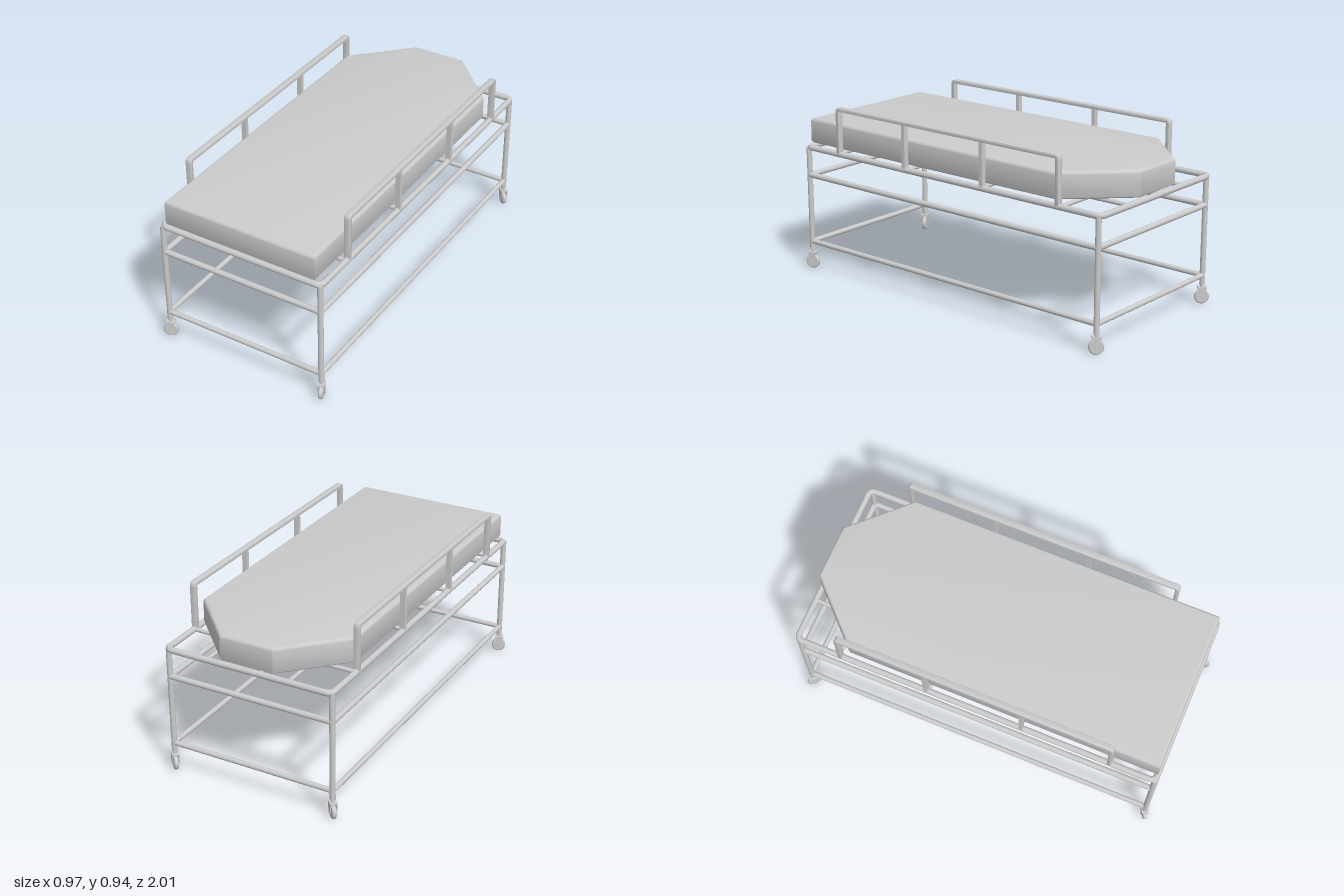
import * as THREE from 'three';
import { toCreasedNormals } from 'three/addons/utils/BufferGeometryUtils.js';

const mat = new THREE.MeshStandardMaterial({ color: 0xcccccc });

export function createModel() {
  const root = new THREE.Group();

  const add = (name, geo, parent = root) => {
    const mesh = new THREE.Mesh(geo, mat);
    mesh.name = name;
    parent.add(mesh);
    return mesh;
  };

  // Straight round bar between two points
  const bar = (name, a, b, r, parent = root) => {
    const from = new THREE.Vector3(...a), to = new THREE.Vector3(...b);
    const dir = to.clone().sub(from);
    const mesh = add(name, new THREE.CylinderGeometry(r, r, dir.length(), 16), parent);
    mesh.position.copy(from).lerp(to, 0.5);
    mesh.quaternion.setFromUnitVectors(new THREE.Vector3(0, 1, 0), dir.normalize());
    return mesh;
  };

  const X = 0.452, ZF = 0.97, ZB = -0.97;

  // Top frame: one closed tube with rounded corners
  const fx = 0.455, fb = -0.983, ff = 0.972, c = 0.035, fy = 0.685;
  const v = (x, z) => new THREE.Vector3(x, fy, z);
  const corners = [[fx, ff], [fx, fb], [-fx, fb], [-fx, ff]].map(([x, z]) => v(x, z));
  const path = new THREE.CurvePath();
  const toward = (a, b) => a.clone().add(b.clone().sub(a).setLength(c));
  corners.forEach((p, i) => {
    const prev = corners[(i + 3) % 4], next = corners[(i + 1) % 4];
    path.add(new THREE.QuadraticBezierCurve3(toward(p, prev), p, toward(p, next)));
    path.add(new THREE.LineCurve3(toward(p, next), toward(next, p)));
  });
  add('topFrame', new THREE.TubeGeometry(path, 400, 0.016, 12, true));

  // Mattress support grid
  for (const z of [-0.745, -0.25, 0.25, 0.745])
    bar('supportCrossBar', [-fx, fy, z], [fx, fy, z], 0.011);
  for (const x of [-0.225, 0.225])
    bar('supportLongBar', [x, fy, fb], [x, fy, ff], 0.011);

  // Middle and lower rails around all four sides
  for (const [name, y, r] of [['middleRail', 0.53, 0.015], ['lowerRail', 0.153, 0.0135]]) {
    for (const s of [-1, 1]) bar(name, [s * X, y, ZB], [s * X, y, ZF], r);
    for (const z of [ZB, ZF]) bar(name, [-X, y, z], [X, y, z], r);
  }

  // Mattress with the two back corners cut off
  const bevel = 0.016, mw = 0.427 - bevel, mf = 0.975 - bevel, mb = -0.985 + bevel;
  const outline = new THREE.Shape([
    [-mw, -mf], [mw, -mf], [mw, 0.69], [0.138, -mb], [-0.138, -mb], [-mw, 0.69],
  ].map(p => new THREE.Vector2(...p)));
  const mattress = new THREE.ExtrudeGeometry(outline, {
    depth: 0.138 - 2 * bevel, bevelEnabled: true, bevelSize: bevel,
    bevelThickness: bevel, bevelSegments: 4,
  });
  mattress.rotateX(-Math.PI / 2).translate(0, 0.702 + bevel, 0);
  add('mattress', toCreasedNormals(mattress, 0.6));

  // Guard rails: flat-section hoop with two inner posts
  const roundedTop = (shape, z0, z1, y0, y1, r) => {
    shape.moveTo(z0, y0);
    shape.lineTo(z0, y1 - r);
    shape.quadraticCurveTo(z0, y1, z0 + r, y1);
    shape.lineTo(z1 - r, y1);
    shape.quadraticCurveTo(z1, y1, z1, y1 - r);
    shape.lineTo(z1, y0);
  };
  const hoop = new THREE.Shape();
  const t = 0.021;
  roundedTop(hoop, -0.745, 0.74, 0.69, 0.94, 0.025);
  hoop.lineTo(0.74 - t, 0.69);
  hoop.lineTo(0.74 - t, 0.94 - t);
  hoop.lineTo(-0.745 + t, 0.94 - t);
  hoop.lineTo(-0.745 + t, 0.69);
  for (const s of [-1, 1]) {
    const rail = new THREE.Group();
    rail.name = s > 0 ? 'leftGuardRail' : 'rightGuardRail';
    const geo = new THREE.ExtrudeGeometry(hoop, {
      depth: 0.025, bevelEnabled: true, bevelSize: 0.004, bevelOffset: -0.004,
      bevelThickness: 0.004, bevelSegments: 2, curveSegments: 6,
    });
    geo.translate(0, 0, -0.0125).rotateY(-Math.PI / 2);
    add('guardHoop', toCreasedNormals(geo, 0.7), rail);
    for (const z of [-0.263, 0.256])
      add('guardPost', new THREE.BoxGeometry(0.028, 0.24, 0.02), rail).position.set(0, 0.81, z);
    rail.position.x = s * 0.454;
    root.add(rail);
  }

  // Swivel caster: stem, tapered fork plates, wheel on an axle along local x
  const plate = new THREE.Shape([
    [-0.024, 0.092], [-0.01, 0.03], [0.01, 0.03], [0.022, 0.092],
  ].map(p => new THREE.Vector2(...p)));
  const makeCaster = () => {
    const g = new THREE.Group();
    bar('casterStem', [0, 0.085, 0], [0, 0.115, 0], 0.009, g);
    add('forkBridge', new THREE.BoxGeometry(0.036, 0.008, 0.045), g).position.set(0, 0.088, 0);
    for (const s of [-1, 1]) {
      const geo = new THREE.ExtrudeGeometry(plate, { depth: 0.004, bevelEnabled: false });
      geo.translate(0, 0, -0.002).rotateY(Math.PI / 2);
      add('forkPlate', geo, g).position.x = s * 0.016;
    }
    const tread = [[0, -0.011], [0.033, -0.011], [0.038, -0.006], [0.038, 0.006], [0.033, 0.011], [0, 0.011]];
    const wheel = new THREE.LatheGeometry(tread.map(p => new THREE.Vector2(...p)), 28);
    wheel.rotateZ(Math.PI / 2).translate(0, 0.038, 0);
    add('wheel', toCreasedNormals(wheel, 0.6), g);
    bar('axle', [-0.021, 0.038, 0], [0.021, 0.038, 0], 0.006, g);
    return g;
  };

  // Legs and casters, each caster swivelled its own way
  for (const [x, z, yaw] of [[X, ZF, 0.4], [-X, ZF, -1.1], [X, ZB, 0.8], [-X, ZB, 0.8]]) {
    bar('leg', [x, 0.105, z], [x, 0.685, z], 0.0145);
    const caster = makeCaster();
    caster.name = 'caster';
    caster.position.set(x, 0, z);
    caster.rotation.y = yaw;
    root.add(caster);
  }

  return root;
}
